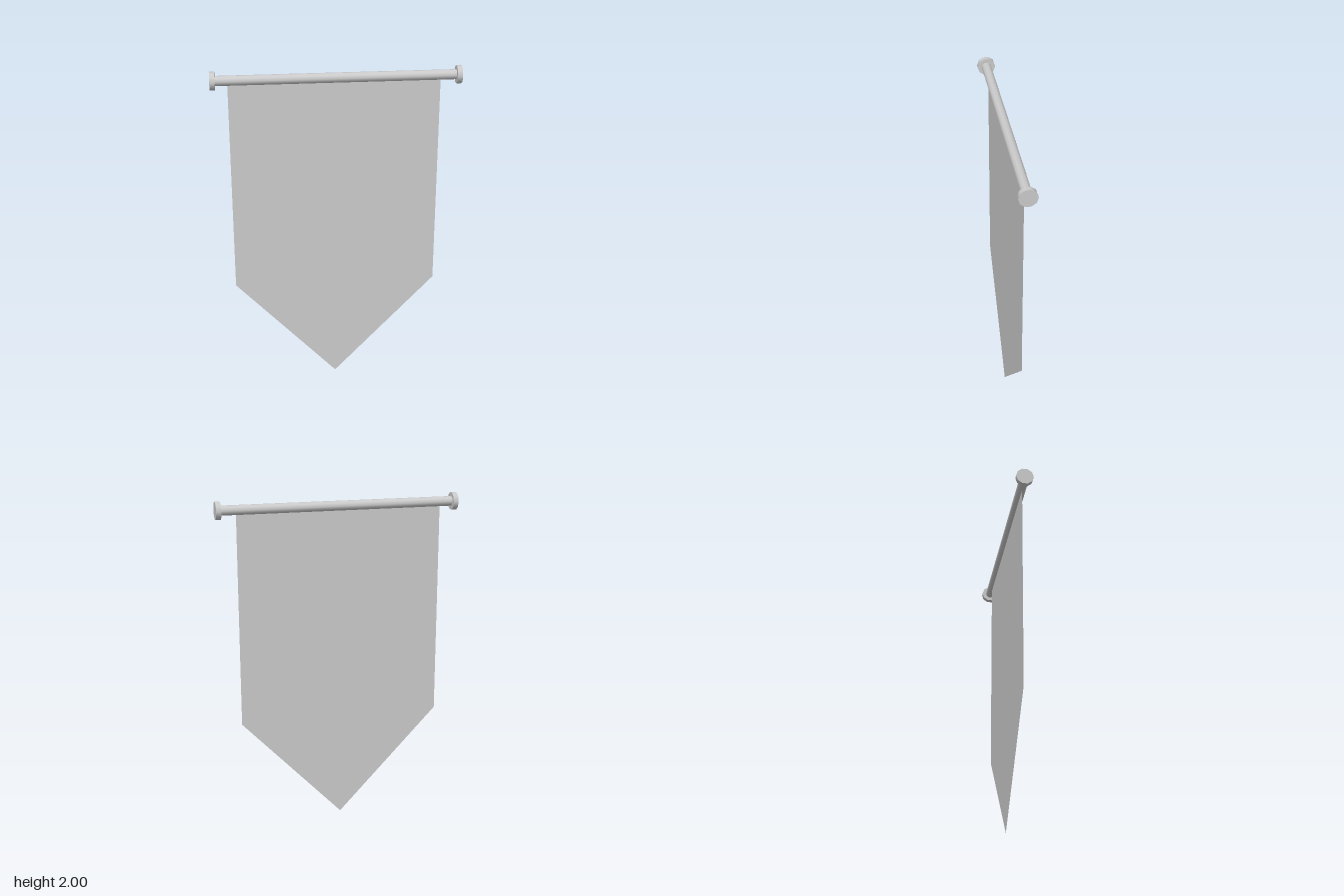
import * as THREE from 'three';

const ROD_Y = 1.95;
const SIDES = 10;

export function createModel() {
  const model = new THREE.Group();
  model.name = 'hangingBanner';
  const wood = new THREE.MeshStandardMaterial({ color: 0xcccccc });
  const fabric = new THREE.MeshStandardMaterial({ color: 0xcccccc, side: THREE.DoubleSide });

  // Cylinder lying along x at rod height
  const addBar = (name, radius, length, x) => {
    const geometry = new THREE.CylinderGeometry(radius, radius, length, SIDES).rotateZ(Math.PI / 2);
    const mesh = new THREE.Mesh(geometry, wood);
    mesh.name = name;
    mesh.position.set(x, ROD_Y, 0);
    model.add(mesh);
  };

  // Rod with a wider knob at each end
  addBar('rod', 0.029, 1.4, 0);
  addBar('leftKnob', 0.053, 0.03, 0.71);
  addBar('rightKnob', 0.053, 0.03, -0.71);

  // Thin cloth with a pointed lower edge, hung slightly off centre
  const halfWidth = 0.615;
  const outline = new THREE.Shape([
    new THREE.Vector2(-halfWidth, ROD_Y),
    new THREE.Vector2(-halfWidth, 0.645),
    new THREE.Vector2(0, 0),
    new THREE.Vector2(halfWidth, 0.645),
    new THREE.Vector2(halfWidth, ROD_Y),
  ]);
  const cloth = new THREE.Mesh(new THREE.ShapeGeometry(outline), fabric);
  cloth.name = 'cloth';
  cloth.position.x = -0.01;
  model.add(cloth);

  return model;
}
